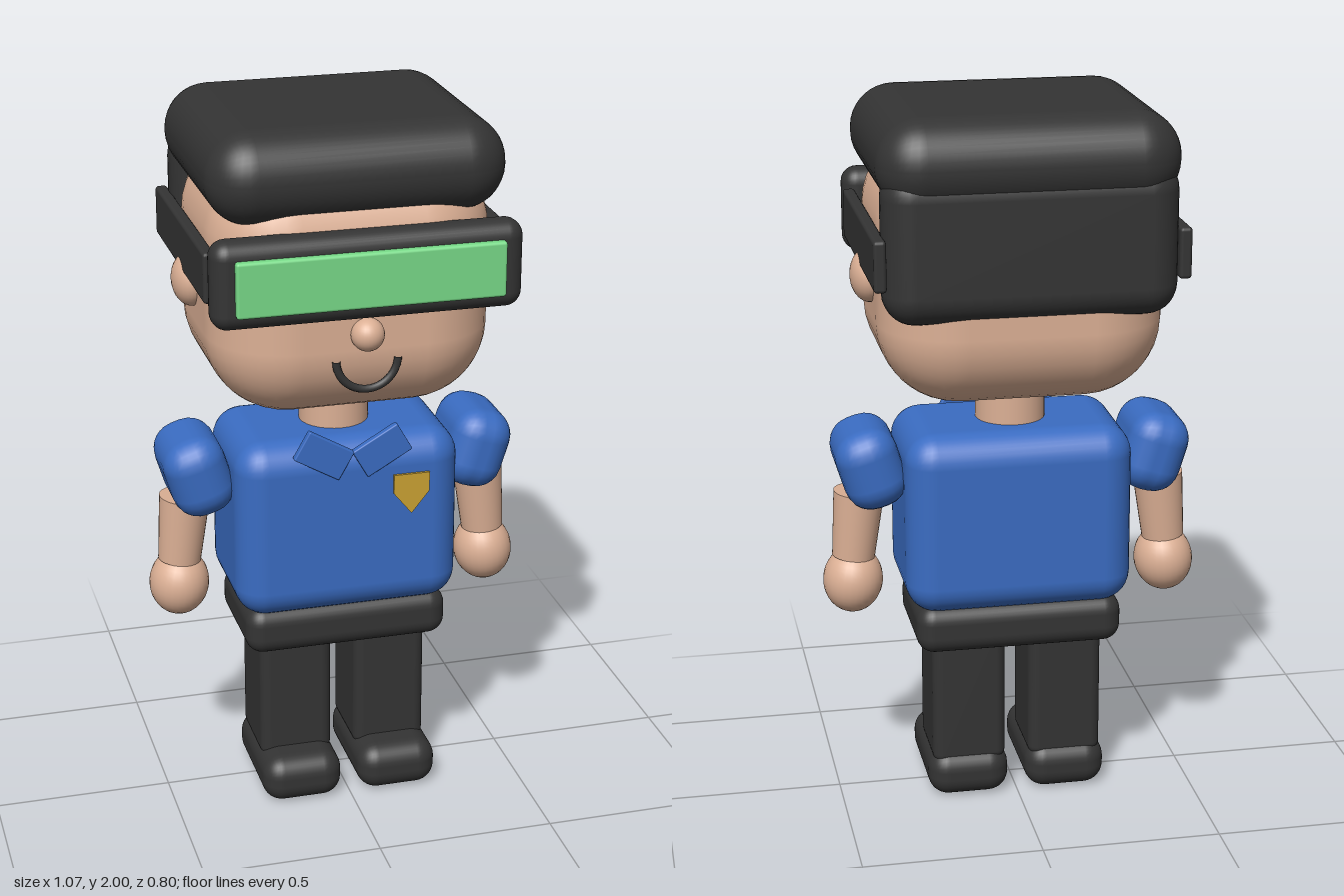
import * as THREE from 'three';
import { RoundedBoxGeometry } from 'three/addons/geometries/RoundedBoxGeometry.js';

function material(name, color) {
  const m = new THREE.MeshStandardMaterial({ color });
  m.name = name;
  return m;
}

export function createModel() {
  const model = new THREE.Group();
  model.name = 'visorFigure';

  const skin = material('skin', 0xdcb095);
  const dark = material('charcoal', 0x343434);
  const blue = material('shirtBlue', 0x3a6cc2);
  const green = material('lensGreen', 0x78da88);
  const gold = material('badgeGold', 0xcba233);

  function add(name, geometry, mat, x, y, z, rotZ = 0) {
    const mesh = new THREE.Mesh(geometry, mat);
    mesh.name = name;
    mesh.position.set(x, y, z);
    mesh.rotation.z = rotZ;
    model.add(mesh);
    return mesh;
  }
  const box = (w, h, d, r, seg = 4) => new RoundedBoxGeometry(w, h, d, seg, r);
  const ball = (rx, ry, rz) => new THREE.SphereGeometry(1, 28, 20).scale(rx, ry, rz);

  // Head and face
  add('head', box(0.775, 0.7, 0.69, 0.22, 5), skin, 0, 1.55, -0.01);
  add('nose', ball(0.045, 0.045, 0.045), skin, 0, 1.465, 0.341);
  add('mouth', new THREE.TorusGeometry(0.084, 0.011, 8, 24, Math.PI), dark, 0, 1.396, 0.338, Math.PI);
  add('neck', new THREE.CylinderGeometry(0.097, 0.097, 0.16, 28), skin, 0, 1.105, -0.008);

  // Hair: flat cap of hair plus a block down the back of the head
  add('hairTop', box(0.805, 0.25, 0.73, 0.122, 5), dark, 0, 1.875, -0.03);
  add('hairBack', box(0.785, 0.42, 0.19, 0.085, 4), dark, 0, 1.67, -0.29);

  // Visor
  add('visorFrame', box(0.835, 0.238, 0.1, 0.045), dark, 0, 1.63, 0.33);
  add('visorLens', box(0.72, 0.15, 0.03, 0.008, 2), green, 0, 1.63, 0.385);

  // Torso and hips
  add('shirt', box(0.634, 0.518, 0.415, 0.085, 4), blue, 0, 0.843, -0.007);
  add('hips', box(0.58, 0.14, 0.36, 0.05), dark, 0, 0.532, -0.01);

  // Badge: shield outline
  const shield = new THREE.Shape();
  shield.moveTo(-0.051, 0.058);
  shield.lineTo(-0.051, 0.003);
  shield.lineTo(0, -0.06);
  shield.lineTo(0.051, 0.003);
  shield.lineTo(0.051, 0.058);
  shield.closePath();
  const shieldGeometry = new THREE.ExtrudeGeometry(shield, { depth: 0.018, bevelEnabled: false });
  add('badge', shieldGeometry, gold, 0.167, 0.937, 0.19);

  // Mirrored parts
  for (const [side, s] of [['left', 1], ['right', -1]]) {
    add(side + 'Ear', ball(0.053, 0.074, 0.074), skin, s * 0.39, 1.53, -0.035);
    add(side + 'Strap', box(0.034, 0.138, 0.636, 0.01, 2), dark, s * 0.403, 1.63, -0.042);
    add(side + 'Collar', box(0.145, 0.09, 0.022, 0.004, 2), blue, s * 0.082, 1.074, 0.2, s * 0.52);

    // Arm: puffed sleeve, tapered forearm, round hand
    add(side + 'Sleeve', box(0.175, 0.23, 0.275, 0.075, 3), blue, s * 0.4, 0.99, -0.007, s * -0.3);
    add(side + 'Forearm', new THREE.CylinderGeometry(0.071, 0.06, 0.19, 28), skin, s * 0.437, 0.81, -0.01, s * 0.1);
    add(side + 'Hand', ball(0.084, 0.095, 0.088), skin, s * 0.449, 0.645, -0.01, s * 0.1);

    // Leg and shoe
    add(side + 'Leg', box(0.208, 0.42, 0.245, 0.03), dark, s * 0.138, 0.31, -0.012);
    add(side + 'Shoe', box(0.23, 0.138, 0.37, 0.058), dark, s * 0.14, 0.069, 0.03);
  }

  return model;
}
